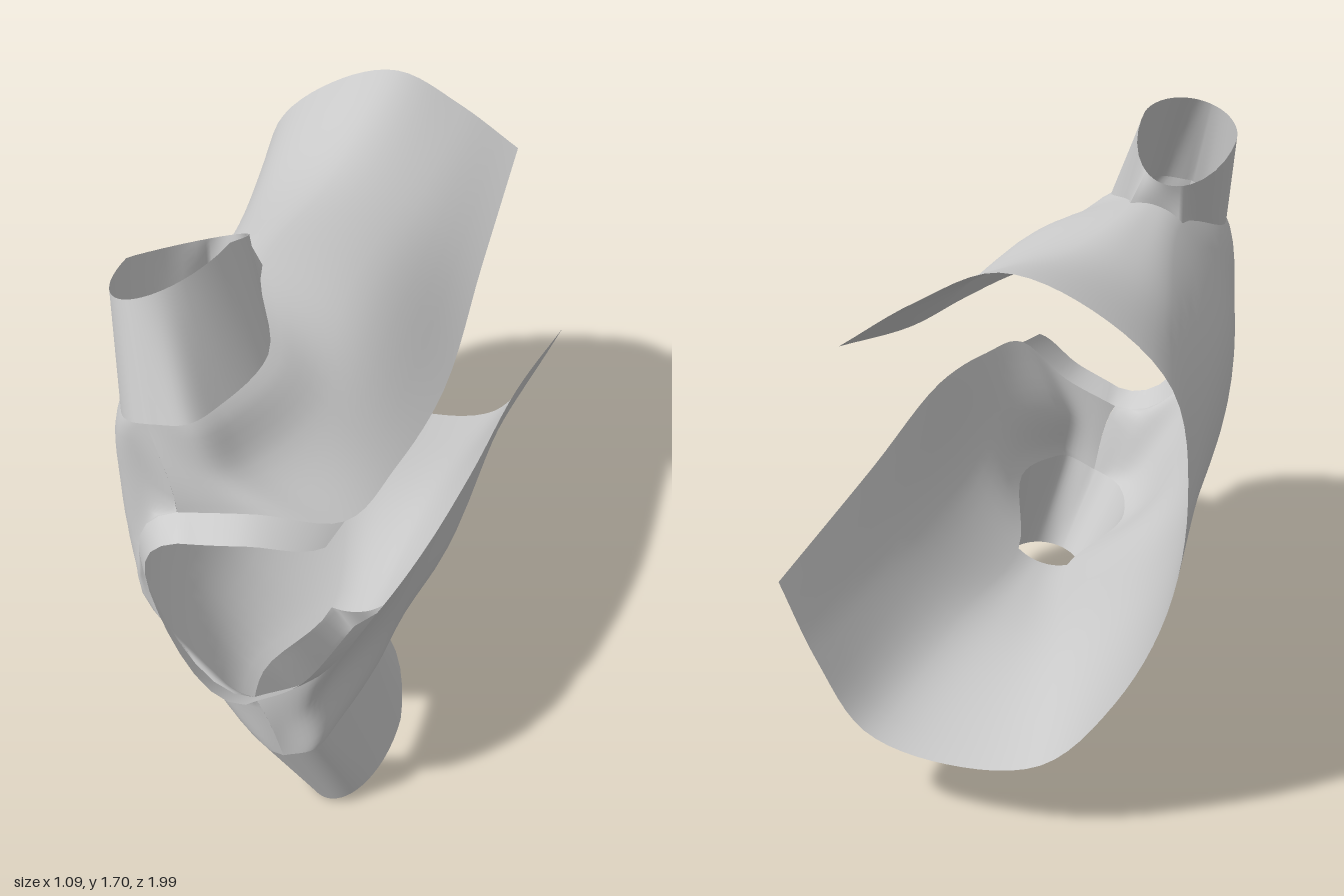
import * as THREE from 'three';

const fabric = new THREE.MeshStandardMaterial({ color: 0xcccccc, side: THREE.DoubleSide });
const STEPS = 6; // subdivisions between neighbouring control points
const V3 = (x, y, z) => new THREE.Vector3(x, y, z);

// Shirt's own frame: x to its front, y to one sleeve, z towards the neck.
// A half section runs front edge, chest, armhole front, side, armhole back, shoulder blade, spine;
// it is mirrored over the spine. The lean shifts z along with x.
const mirrored = (half) => [...half, ...half.slice(0, -1).reverse().map((p) => V3(p.x, -p.y, p.z))];
const section = (z, lean, pairs) => mirrored(pairs.map(([x, y]) => V3(x, y, z + lean * x)));

const hem = section(-.97, .06,
  [[.555, .35], [.4, .53], [.22, .68], [-.02, .675], [-.26, .56], [-.385, .3], [-.43, 0]]);
const underarm = section(.2, 0,
  [[.487, .152], [.32, .45], [.08, .62], [0, .64], [-.09, .615], [-.33, .36], [-.41, 0]]);
const chest = section(.55, 0,
  [[.425, .145], [.29, .36], [.18, .535], [0, .63], [-.2, .56], [-.32, .3], [-.37, 0]]);
const collarbone = section(.79, 0,
  [[.345, .155], [.17, .36], [.12, .54], [0, .6], [-.15, .56], [-.24, .32], [-.3, 0]]);
const yoke = section(.875, .12,
  [[.17, .275], [.1, .4], [.07, .555], [0, .59], [-.09, .57], [-.13, .345], [-.28, 0]]);
const waist = hem.map((p, i) => p.clone().lerp(underarm[i], .5).multiply(V3(.98, .925, 1)));

// Shoulder line, where front and back meet
const neck = V3(-.03, .32, .92), tip = V3(-.033, .573, .89), nape = V3(-.255, 0, .84);
const shoulder = mirrored([neck, neck.clone().lerp(tip, .5), tip, tip, tip, neck, nape]);

const curves = [hem, waist, underarm, chest, collarbone, yoke, shoulder]
  .map((s) => new THREE.CatmullRomCurve3(s));
const TOP = curves.length - 1, ARM = 2, CORNER = 4, END = 12;

// Point on one section; the last one has a round neckline and shares its shoulder line front and back
function sectionPoint(curve, u) {
  if (curve === curves[TOP]) {
    if (u <= 2) u = 5 - u / 2;
    if (u >= 10) u = 7 + (END - u) / 2;
    if (u >= 5 && u <= 7) {
      const a = (6 - u) * Math.PI / 2, s = Math.sin(a);
      return V3(neck.x + (nape.x - neck.x) * Math.cos(a), neck.y * s, nape.z + (neck.z - nape.z) * s * s);
    }
  }
  return curve.getPoint(u / END);
}

// Point of the cloth: u = 0..END around, v = 0..TOP from hem to shoulder
const cloth = (u, v) =>
  new THREE.CatmullRomCurve3(curves.map((c) => sectionPoint(c, u))).getPoint(v / TOP);

// Surface through rows of points, with an optional test for cells to leave out
function surface(name, rows, skip = () => false) {
  const n = rows[0].length, index = [];
  for (let j = 0; j < rows.length - 1; j++) {
    for (let i = 0; i < n - 1; i++) {
      if (skip(i, j)) continue;
      const a = j * n + i, b = a + 1, c = a + n, d = c + 1;
      index.push(a, b, c, b, d, c);
    }
  }
  const geometry = new THREE.BufferGeometry().setFromPoints(rows.flat());
  geometry.setIndex(index);
  geometry.computeVertexNormals();
  const mesh = new THREE.Mesh(geometry, fabric);
  mesh.name = name;
  return mesh;
}

const range = (from, to) => {
  const count = Math.abs(to - from) * STEPS;
  return Array.from({ length: count + 1 }, (_, i) => from + (to - from) * i / count);
};

// Sleeve: from the pointed armhole out to an oval cuff that is shorter at the underarm
function sleeve(name) {
  const hole = [
    ...range(ARM, TOP).map((v) => cloth(2, v)),
    ...range(TOP, ARM).slice(1).map((v) => cloth(4, v)),
    ...range(4, 2).slice(1).map((u) => cloth(u, ARM)),
  ];
  const box = new THREE.Box3().setFromPoints(hole);
  const mid = box.getCenter(V3()), size = box.getSize(V3());
  const cuff = hole.map((p) => {
    const t = Math.atan2((p.z - mid.z) / size.z, (p.x - mid.x) / size.x);
    const s = Math.sin(t);
    return V3(.15 * Math.cos(t), .835 + s * (s > 0 ? .03 : .12), .48 + .3 * s);
  });
  return surface(name, range(1, 0).map((k) => hole.map((p, i) => p.clone().lerp(cuff[i], k))));
}

// Collar: a standing band along the neckline, leaning inwards
function collar() {
  const base = [
    ...range(CORNER, TOP).map((v) => cloth(0, v)),
    ...range(5, 7).slice(1).map((u) => cloth(u, TOP)),
    ...range(TOP, CORNER).slice(1).map((v) => cloth(END, v)),
  ];
  const edge = base.map((p) => V3(.07 - p.x, -p.y, 0).setLength(.045).add(p).add(V3(0, 0, .075)));
  return surface('collar', [base, edge]);
}

export function createModel() {
  const shirt = new THREE.Group();
  shirt.name = 'openShirt';

  // Body, open down the front and at both armholes
  const rows = range(0, TOP).map((v) => range(0, END).map((u) => cloth(u, v)));
  const armhole = (i, j) => {
    const fromSide = Math.abs(Math.abs((i + .5) / STEPS - END / 2) - 3);
    return j >= ARM * STEPS && fromSide < 1;
  };
  shirt.add(surface('body', rows, armhole));

  const upper = sleeve('upperSleeve');
  const lower = sleeve('lowerSleeve');
  lower.scale.y = -1;
  shirt.add(upper, lower, collar());

  // The shirt lies on its side, rolled a little
  shirt.rotation.z = .291;
  shirt.position.set(-.09, .85, 0);
  const group = new THREE.Group();
  group.add(shirt);
  return group;
}
